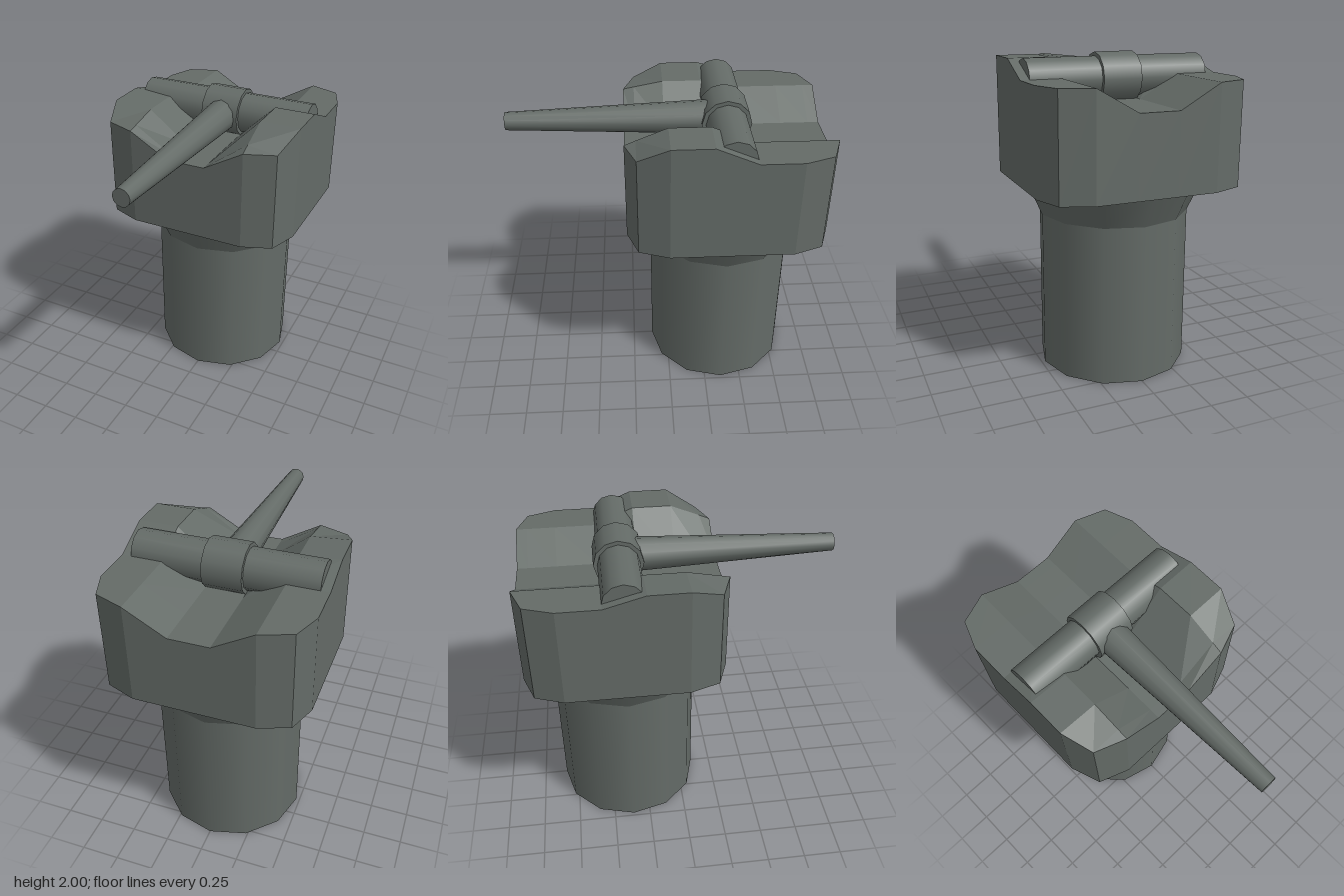
import * as THREE from 'three';

const AXIS_Z = -0.365;   // centre line of the pedestal and pivot
const PIVOT_Y = 1.845;   // height of the gun axis

const gunMetal = new THREE.MeshStandardMaterial({ color: 0x646b67 });
gunMetal.name = 'gunMetal';

function part(name, geometry, x = 0, y = 0, z = 0) {
  const mesh = new THREE.Mesh(geometry, gunMetal);
  mesh.name = name;
  mesh.position.set(x, y, z);
  return mesh;
}

// Chamfered block whose top has a lengthwise valley and two raised cheeks
function headGeometry() {
  const base = 1.22;
  const deck = 1.86;
  const valley = 1.715;
  // z, half width, cheek lift at the inner edge, cheek lift at the outer edge
  const rows = [
    [0.27, 0.38, 0, 0],
    [0.20, 0.57, 0.28, 0],
    [0.01, 0.637, 1, 1],
    [-0.24, 0.637, 1, 1],
    [-0.49, 0.637, 0, 0],
    [-0.75, 0.637, 0, 0],
    [-0.93, 0.57, 0, 0],
    [-1.0, 0.38, 0, 0],
  ];
  const grid = rows.map(([z, w, inner, outer]) => [
    [-w, deck + 0.07 * outer, z],
    [-0.38, deck + 0.05 * inner, z],
    [-0.125, valley, z],
    [0.125, valley, z],
    [0.38, deck + 0.107 * inner, z],
    [w, deck + 0.107 * outer, z],
  ]);

  const positions = [];
  const same = (p, q) => p.every((v, k) => Math.abs(v - q[k]) < 1e-6);
  const tri = (a, b, c) => {
    if (!same(a, b) && !same(b, c) && !same(a, c)) positions.push(...a, ...b, ...c);
  };
  const quad = (a, b, c, d) => { tri(a, b, c); tri(a, c, d); };

  // Top surface
  const last = rows.length - 1;
  for (let i = 0; i < last; i++) {
    for (let j = 0; j < 5; j++) {
      quad(grid[i][j], grid[i][j + 1], grid[i + 1][j + 1], grid[i + 1][j]);
    }
  }

  // Walls and underside follow the rim of the top
  const rim = [
    ...grid[0],
    ...grid.slice(1, last).map((row) => row[5]),
    ...[...grid[last]].reverse(),
    ...grid.slice(1, last).map((row) => row[0]).reverse(),
  ];
  const floor = rim.map(([x, , z]) => [x, base, z]);
  const centre = [0, base, AXIS_Z];
  rim.forEach((p, i) => {
    const n = (i + 1) % rim.length;
    quad(floor[i], floor[n], rim[n], p);
    tri(centre, floor[n], floor[i]);
  });

  const geometry = new THREE.BufferGeometry();
  geometry.setAttribute('position', new THREE.Float32BufferAttribute(positions, 3));
  geometry.computeVertexNormals();
  return geometry;
}

export function createModel() {
  const model = new THREE.Group();
  model.name = 'gunTurret';

  // Round column with a flared collar
  model.add(part('pedestal', new THREE.CylinderGeometry(0.477, 0.477, 1.01, 12), 0, 0.505, AXIS_Z));
  model.add(part('collar', new THREE.CylinderGeometry(0.573, 0.477, 0.21, 12, 1, true), 0, 1.115, AXIS_Z));

  model.add(part('turretHead', headGeometry()));

  // Crosswise pivot bar and the sleeve that grips the barrel
  const acrossBar = (radius, length) =>
    new THREE.CylinderGeometry(radius, radius, length, 12).rotateZ(Math.PI / 2);
  model.add(part('pivotBar', acrossBar(0.13, 1.16), 0, PIVOT_Y, AXIS_Z));
  model.add(part('barrelSleeve', acrossBar(0.155, 0.25), 0, PIVOT_Y, AXIS_Z));

  // Tapered barrel pointing forward
  const barrel = new THREE.CylinderGeometry(0.056, 0.108, 1.3, 12).rotateX(Math.PI / 2);
  model.add(part('barrel', barrel, 0, PIVOT_Y - 0.005, 0.35));

  return model;
}
